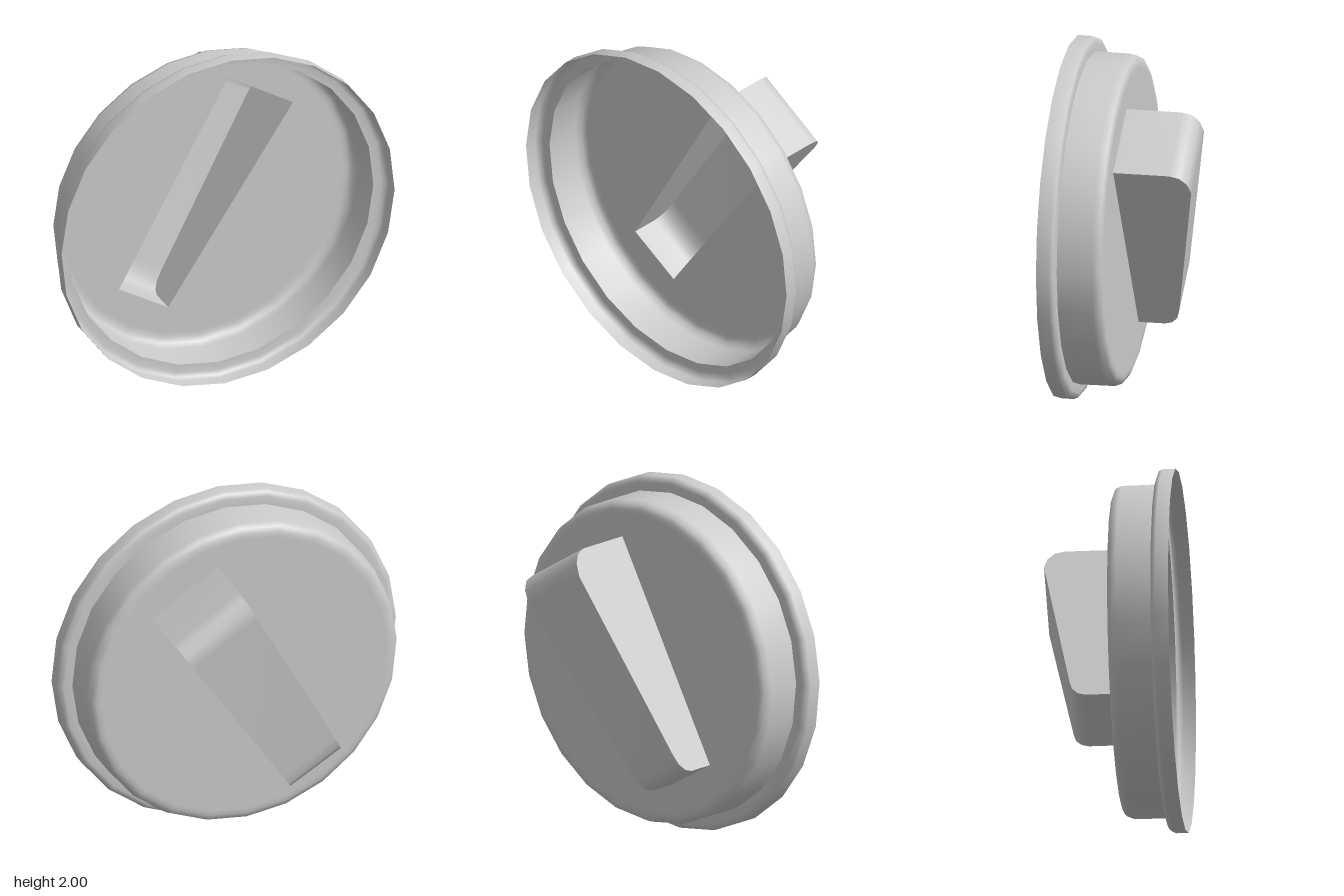
import * as THREE from 'three';

const SIDES = 24;
const TURN = -0.02; // slight twist of the round parts
const material = new THREE.MeshStandardMaterial({ color: 0xcccccc, side: THREE.DoubleSide });

// Footprint of the handle: lower and upper end of each long side, [x, y]
const LEFT = [[-0.5, 0.52], [0.155, 1.695]];
const RIGHT = [[-0.205, 0.345], [0.545, 1.455]];

// Side profile of the handle: [fraction along its length, z]
const PROFILE = [
  [0, 0.04], [0, -0.11], [0.012, -0.15], [0.042, -0.182], [0.095, -0.2],
  [0.895, -0.38], [0.95, -0.363], [0.987, -0.325], [1, -0.27], [1, 0.04],
];

function add(group, name, geometry) {
  const mesh = new THREE.Mesh(geometry, material);
  mesh.name = name;
  group.add(mesh);
}

// Revolve [radius, z] points about the z axis
function ring(points) {
  return new THREE.LatheGeometry(points.map(([r, z]) => new THREE.Vector2(r, z)), SIDES)
    .rotateX(Math.PI / 2).rotateZ(TURN).translate(0, 1, 0);
}

function build(points, index) {
  const geometry = new THREE.BufferGeometry();
  geometry.setAttribute('position', new THREE.Float32BufferAttribute(points.flat(), 3));
  geometry.setIndex(index);
  geometry.computeVertexNormals();
  return geometry;
}

// Lift the side profile onto one long side of the footprint
function sidePoints([low, high]) {
  return PROFILE.map(([t, z]) => [
    low[0] + (high[0] - low[0]) * t, low[1] + (high[1] - low[1]) * t, z,
  ]);
}

// Flat cheek as a fan over the convex profile
function cheek(points, flip) {
  const index = [];
  for (let i = 1; i < points.length - 1; i++) index.push(0, ...(flip ? [i + 1, i] : [i, i + 1]));
  return build(points, index);
}

// Rounded band joining the two cheeks, open towards the front
function band(a, b) {
  const points = a.flatMap((p, i) => [p, b[i]]);
  const index = [];
  for (let i = 0; i < a.length - 1; i++) {
    const k = 2 * i;
    index.push(k, k + 2, k + 1, k + 1, k + 2, k + 3);
  }
  return build(points, index);
}

export function createModel() {
  const group = new THREE.Group();

  // Flat plate with the handle opening cut through it
  const outline = [];
  for (let i = 0; i < SIDES; i++) {
    const a = (i / SIDES) * Math.PI * 2 + TURN;
    outline.push(new THREE.Vector2(0.84 * Math.cos(a), 1 + 0.84 * Math.sin(a)));
  }
  const plate = new THREE.Shape(outline);
  plate.holes.push(new THREE.Path(
    [LEFT[0], LEFT[1], RIGHT[1], RIGHT[0]].map(([x, y]) => new THREE.Vector2(x, y))));
  add(group, 'plate', new THREE.ShapeGeometry(plate).translate(0, 0, 0.04));

  // Thin wall with a rounded back edge, then the stepped rim
  add(group, 'wall', ring([[0.84, 0.04], [0.87, 0.04], [0.9, 0.053], [0.915, 0.09], [0.917, 0.285]]));
  add(group, 'rim', ring([[0.917, 0.285], [0.965, 0.285], [0.99, 0.295], [1, 0.315], [1, 0.385]]));

  // Hollow wedge handle
  const handle = new THREE.Group();
  handle.name = 'handle';
  const left = sidePoints(LEFT);
  const right = sidePoints(RIGHT);
  add(handle, 'handleBand', band(left, right));
  add(handle, 'handleCheekA', cheek(left, true));
  add(handle, 'handleCheekB', cheek(right, false));
  group.add(handle);

  return group;
}
